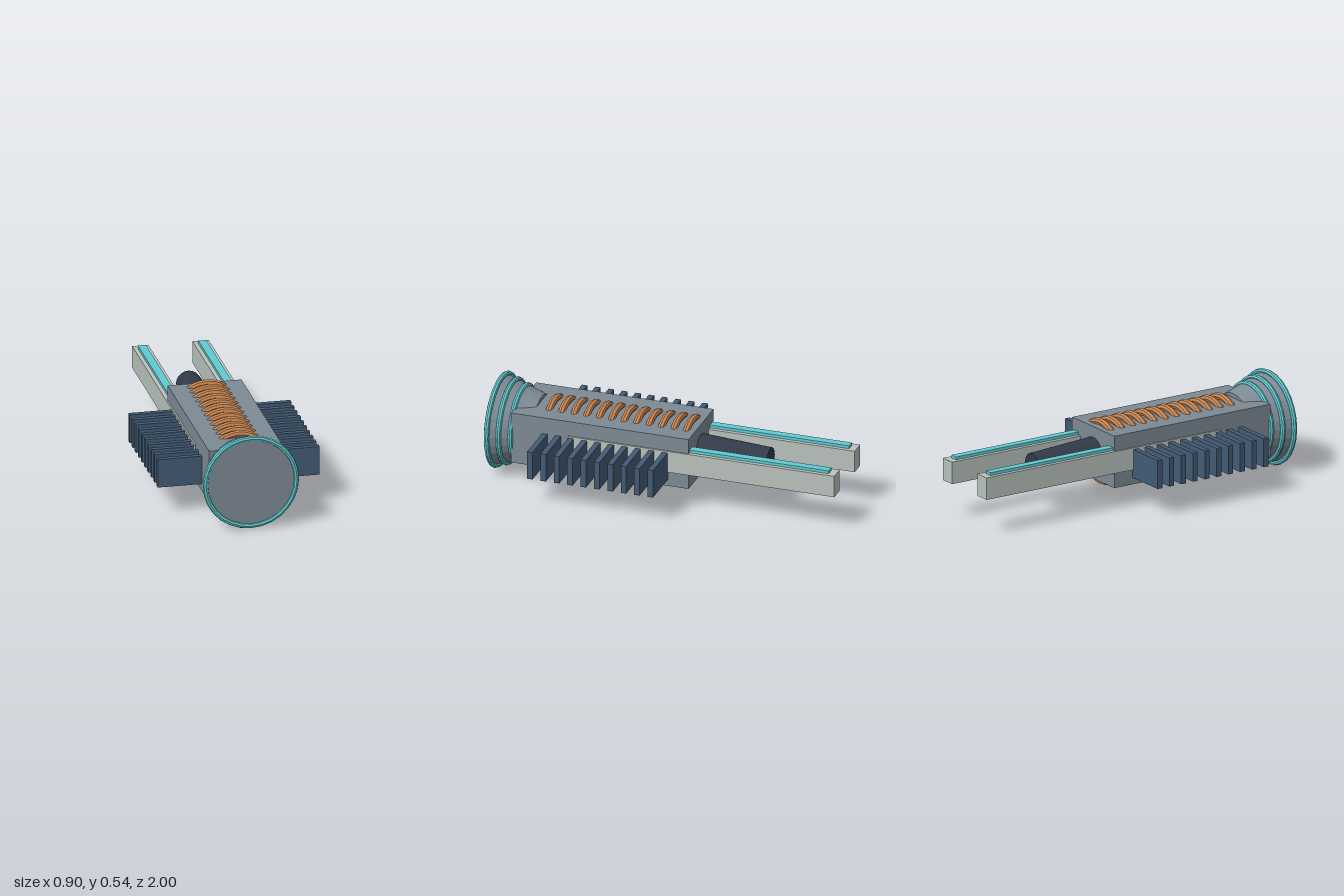
import * as THREE from 'three';

const CY = 0.27; // height of the long axis

function mat(name, color) {
  const m = new THREE.MeshStandardMaterial({ color, flatShading: true });
  m.name = name;
  return m;
}

export function createModel() {
  const model = new THREE.Group();
  model.name = 'railDevice';

  const steel = mat('steel grey', 0x7d8a94);
  const pale = mat('pale grey', 0xbac3be);
  const cyan = mat('cyan', 0x62cbd1);
  const navy = mat('slate blue', 0x425b75);
  const copper = mat('copper', 0xc98652);
  const dark = mat('dark barrel', 0x323a48);

  const add = (name, geo, material, x, y, z) => {
    const mesh = new THREE.Mesh(geo, material);
    mesh.name = name;
    mesh.position.set(x, y, z);
    model.add(mesh);
    return mesh;
  };
  // cylinder along z, from zBack to zFront
  const tube = (name, rFront, rBack, zFront, zBack, sides, material) =>
    add(name, new THREE.CylinderGeometry(rFront, rBack, zFront - zBack, sides).rotateX(Math.PI / 2),
      material, 0, CY, (zFront + zBack) / 2);

  // main housing
  add('housing', new THREE.BoxGeometry(0.41, 0.296, 1.02), steel, 0, CY + 0.001, 0.35);

  // flared bell with its three trim rings
  tube('bell', 0.25, 0.173, 0.99, 0.755, 28, steel);
  [[0.985, 0.253], [0.925, 0.23], [0.865, 0.207]].forEach(([z, r]) =>
    add('bellRing', new THREE.TorusGeometry(r, 0.015, 8, 28), cyan, 0, CY, z));

  // tapered rear barrel
  tube('barrel', 0.092, 0.068, -0.1, -0.56, 20, dark);

  // coil windings around the housing
  for (let i = 0; i < 12; i++) {
    add('coil', new THREE.TorusGeometry(0.167, 0.02, 8, 32), copper, 0, CY, 0.682 - i * 0.0717);
  }

  for (const s of [1, -1]) {
    // rail with a glowing strip on top
    add('rail', new THREE.BoxGeometry(0.09, 0.125, 1.53), pale, s * 0.168, CY + 0.001, -0.235);
    add('railStrip', new THREE.BoxGeometry(0.045, 0.03, 1.45), cyan, s * 0.168, 0.335, -0.235);
    // cooling fins
    for (let i = 0; i < 10; i++) {
      add('fin', new THREE.BoxGeometry(0.26, 0.162, 0.031), navy, s * 0.32, 0.243, 0.667 - i * 0.077);
    }
  }
  return model;
}
